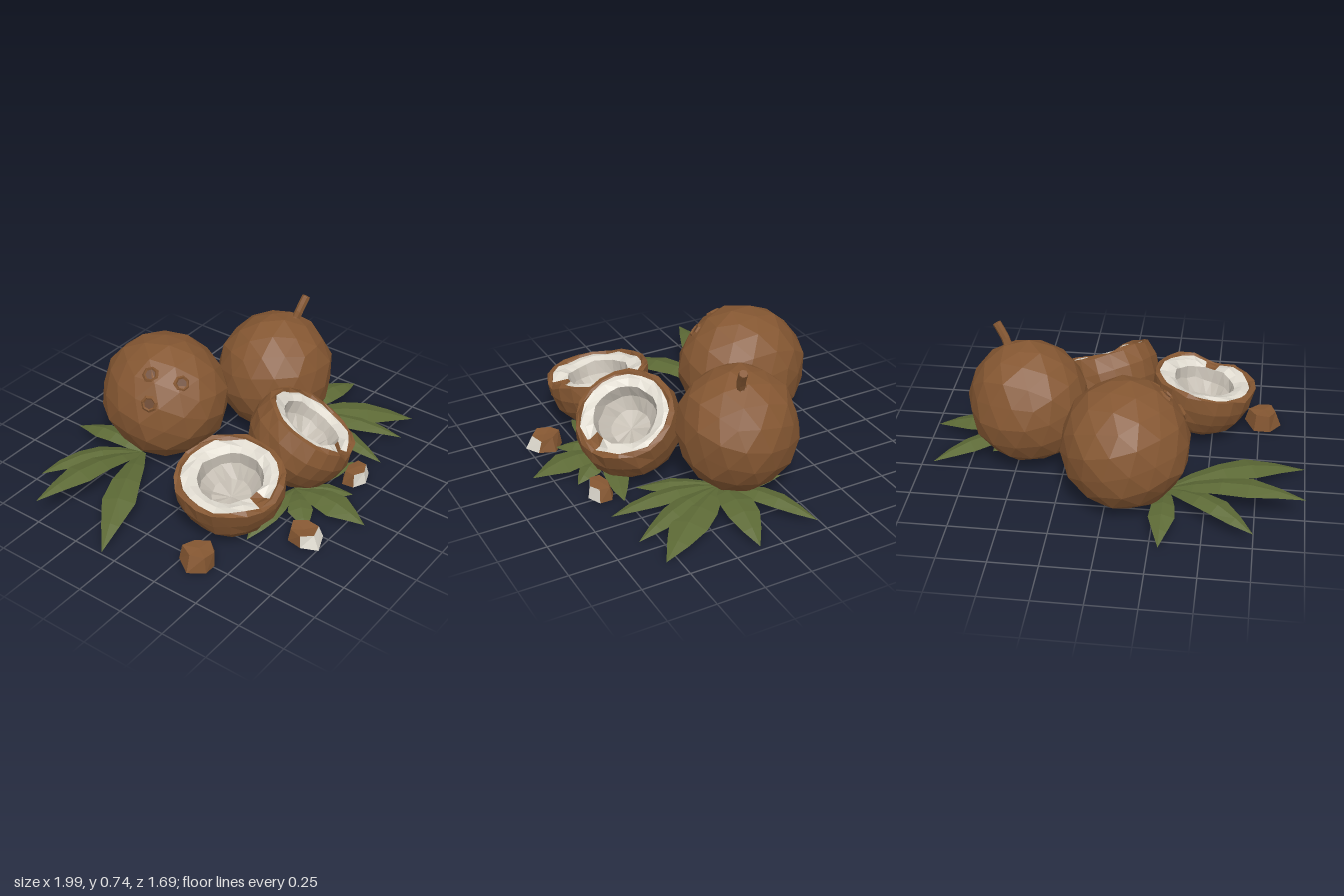
import * as THREE from 'three';

const mat = (name, color, side = THREE.FrontSide) => {
  const m = new THREE.MeshStandardMaterial({ color, flatShading: true, side });
  m.name = name;
  return m;
};
const V = (x, y, z) => new THREE.Vector3(x, y, z);
const UP = V(0, 1, 0);

// repeatable noise in -1..1
const noise = (a, b, c) => {
  const s = Math.sin(a * 127.1 + b * 311.7 + c * 74.7) * 43758.5453;
  return (s - Math.floor(s)) * 2 - 1;
};

export function createModel() {
  const root = new THREE.Group();
  const husk = mat('husk brown', 0x855732);
  const dark = mat('eye brown', 0x68432a);
  const flesh = mat('coconut flesh', 0xe0dbd0);
  const cavity = mat('flesh hollow', 0xc2bbb0);
  const leaf = mat('leaf green', 0x5d6a36, THREE.DoubleSide);

  const add = (parent, name, geo, material) => {
    const mesh = new THREE.Mesh(geo, material);
    mesh.name = name;
    parent.add(mesh);
    return mesh;
  };

  // Whole nut: faceted, uneven ball with a flattened base
  function wholeNut(name, center, radii, seed) {
    const g = new THREE.Group();
    g.name = name;
    g.position.copy(center);
    const geo = new THREE.IcosahedronGeometry(1, 2);
    geo.rotateY(seed).rotateX(seed * 0.7);
    const p = geo.attributes.position;
    for (let i = 0; i < p.count; i++) {
      const v = V().fromBufferAttribute(p, i);
      const k = [v.x, v.y, v.z].map((n) => Math.round(n * 50));
      v.multiplyScalar(1.015 + 0.025 * noise(k[0], k[1], k[2] + seed)).multiply(radii);
      v.y = Math.max(v.y, 0.01 - center.y);
      p.setXYZ(i, v.x, v.y, v.z);
    }
    geo.computeVertexNormals();
    add(g, 'husk', geo, husk);
    root.add(g);
    return g;
  }

  const back = wholeNut('backCoconut', V(-0.095, 0.335, -0.4), V(0.322, 0.324, 0.336), 1);
  const right = wholeNut('rightCoconut', V(0.443, 0.335, -0.065), V(0.312, 0.322, 0.304), 2);

  // Three germination eyes
  for (const [x, y, z] of [[-0.195, 0.25, 0.07], [-0.275, 0.13, 0.12], [-0.12, 0.21, 0.215]]) {
    const dir = V(x, y, z).normalize();
    const eye = new THREE.Group();
    eye.name = 'eye';
    eye.position.copy(dir).multiplyScalar(0.318);
    eye.quaternion.setFromUnitVectors(V(0, 0, 1), dir);
    add(eye, 'eyeRing', new THREE.TorusGeometry(0.034, 0.012, 4, 7), husk);
    add(eye, 'eyePit', new THREE.CylinderGeometry(0.032, 0.032, 0.009, 7).rotateX(Math.PI / 2), dark);
    back.add(eye);
  }

  // Stem
  const stemPath = new THREE.CatmullRomCurve3([V(0.1, 0.25, 0.04), V(0.125, 0.32, 0.06), V(0.155, 0.375, 0.07), V(0.17, 0.4, 0.075)]);
  add(right, 'stem', new THREE.TubeGeometry(stemPath, 4, 0.023, 7), husk);
  const tip = add(right, 'stemTip', new THREE.CylinderGeometry(0.022, 0.023, 0.008, 7), husk);
  tip.position.set(0.17, 0.4, 0.075);
  tip.quaternion.setFromUnitVectors(UP, V(0.5, 0.85, 0.15).normalize());
  add(right, 'stemBase', new THREE.CylinderGeometry(0.025, 0.05, 0.04, 7), husk).position.set(0.105, 0.285, 0.04);

  // Halved nut: husk bowl, flesh ring and hollow share one uneven profile
  function halfNut(name, center, normal, cut, notch, seed) {
    const g = new THREE.Group();
    g.name = name;
    g.position.copy(center);
    g.quaternion.setFromUnitVectors(UP, normal.normalize());
    const R = 0.276, seg = 20, profile = [];
    const end = Math.acos(-cut / R);
    for (let j = 0; j <= 6; j++) {
      const a = (end * j) / 6;
      profile.push([R * Math.sin(a), -R * Math.cos(a)]);
    }
    const rim = profile[6][0];
    profile.push([rim - 0.022, cut + 0.006], [rim - 0.03, cut - 0.004], [0.205, cut - 0.004],
      [0.165, cut - 0.018], [0.152, cut - 0.085], [0.1, cut - 0.145], [0, cut - 0.165]);

    const band = (from, to) => {
      const pts = profile.slice(from, to + 1);
      const geo = new THREE.LatheGeometry(pts.map(([r, y]) => new THREE.Vector2(r, y)), seg);
      const p = geo.attributes.position;
      for (let i = 0; i <= seg; i++) {
        const s = i % seg;
        pts.forEach(([r], k) => {
          const j = from + k, id = i * pts.length + k;
          const f = 1 + 0.025 * noise(s, j, seed);
          let y = p.getY(id);
          if (r > 0 && j > 0) y += (j > 5 ? 0.009 : 0.004) * noise(j, s, seed + 5);
          if (j >= 6 && j <= 9 && (s === notch || s === (notch + 1) % seg)) y -= 0.028;
          p.setXYZ(id, p.getX(id) * f, y, p.getZ(id) * f);
        });
      }
      geo.computeVertexNormals();
      return geo;
    };
    add(g, 'shell', band(0, 8), husk);
    // One chipped piece of the ring shows the husk beneath
    const ring = band(8, 10);
    for (let i = 0; i < seg; i++) ring.addGroup(i * 12, 12, i === notch ? 1 : 0);
    add(g, 'fleshRing', ring, [flesh, husk]);
    add(g, 'hollow', band(10, 13), cavity);
    root.add(g);
  }
  halfNut('leftHalf', V(-0.44, 0.285, 0.285), V(-0.19, 1, 0.07), 0.035, 19, 3);
  halfNut('frontHalf', V(0.083, 0.285, 0.36), V(0.4, 1, 0.48), 0.1, 0, 8);

  // Broken chips: brown chunks, flesh showing on some sides
  function chip(center, size, turn, whiteSides, seed) {
    const geo = new THREE.CylinderGeometry(0.8, 1, 1, 6, 1);
    const p = geo.attributes.position;
    for (let i = 0; i < p.count; i++) {
      const v = V().fromBufferAttribute(p, i);
      const k = [v.x, v.y, v.z].map((n) => Math.round(n * 20));
      p.setXYZ(i, v.x * (1 + 0.22 * noise(k[0], k[1], k[2] + seed)), v.y + 0.15 * noise(k[2], k[0], k[1] + seed),
        v.z * (1 + 0.2 * noise(k[1], k[2], k[0] + seed)));
    }
    geo.computeVertexNormals();
    geo.clearGroups();
    for (let i = 0; i < 6; i++) geo.addGroup(i * 6, 6, whiteSides.includes(i) ? 1 : 0);
    geo.addGroup(36, 36, 0);
    const m = add(root, 'chip', geo, [husk, flesh]);
    m.position.copy(center);
    m.scale.copy(size);
    m.rotation.y = turn;
  }
  chip(V(-0.77, 0.06, 0.345), V(0.092, 0.085, 0.092), 0.4, [], 1);
  chip(V(-0.33, 0.05, 0.655), V(0.088, 0.07, 0.088), -0.2, [0, 5], 2);
  chip(V(0.235, 0.05, 0.6), V(0.08, 0.07, 0.065), 0, [0, 5], 3);

  // Leaflet: arched blade with a raised midrib
  function leaflet(parent, base, end, width, arch) {
    const shape = [0.25, 0.65, 0.95, 1, 0.6, 0];
    const side = V().subVectors(end, base).cross(UP).normalize();
    const pos = [], idx = [];
    shape.forEach((w, i) => {
      const t = i / (shape.length - 1);
      const c = base.clone().lerp(end, t);
      c.y += arch * Math.sin(Math.PI * t);
      for (const s of [-1, 0, 1]) {
        const ragged = 1 + 0.12 * noise(i, s, end.x * 10);
        const v = c.clone().addScaledVector(side, s * w * ragged * width * 0.5);
        pos.push(v.x, Math.max(0.008, v.y - Math.abs(s) * w * 0.022), v.z);
      }
      if (i) for (const k of [0, 1]) {
        const a = (i - 1) * 3 + k, b = i * 3 + k;
        idx.push(a, a + 1, b, a + 1, b + 1, b);
      }
    });
    const geo = new THREE.BufferGeometry();
    geo.setAttribute('position', new THREE.Float32BufferAttribute(pos, 3));
    geo.setIndex(idx);
    geo.computeVertexNormals();
    add(parent, 'leaflet', geo, leaf);
  }

  // Leaf fans: base point, then [tipX, tipY, tipZ, width, arch]
  const fans = {
    backLeaves: [V(-0.3, 0.07, -0.4), [
      [-0.3, 0.05, -0.85, 0.13, 0.06], [-0.75, 0.06, -0.71, 0.14, 0.07], [-1, 0.135, -0.505, 0.15, 0.07],
      [-1, 0.02, -0.08, 0.16, 0.08]]],
    rightLeaves: [V(0.5, 0.06, 0.06), [
      [0.94, 0.02, -0.235, 0.13, 0.05], [0.99, 0.02, 0.12, 0.17, 0.06], [0.885, 0.015, 0.565, 0.18, 0.05],
      [0.69, 0.02, 0.61, 0.13, 0.05], [0.435, 0.015, 0.635, 0.14, 0.05], [0.27, 0.02, 0.42, 0.12, 0.03],
      [0.62, 0.1, -0.22, 0.12, 0.01]]],
    frontLeaves: [V(-0.06, 0.05, 0.42), [
      [-0.06, 0.015, 0.84, 0.18, 0.05], [-0.27, 0.02, 0.625, 0.13, 0.04], [0.11, 0.02, 0.665, 0.12, 0.03],
      [-0.5, 0.015, 0.43, 0.13, 0.04], [0.35, 0.02, 0.52, 0.12, 0.03]]],
  };
  for (const [name, [base, tips]] of Object.entries(fans)) {
    const g = new THREE.Group();
    g.name = name;
    for (const [x, y, z, w, a] of tips) leaflet(g, base, V(x, y, z), w, a);
    root.add(g);
  }
  return root;
}
